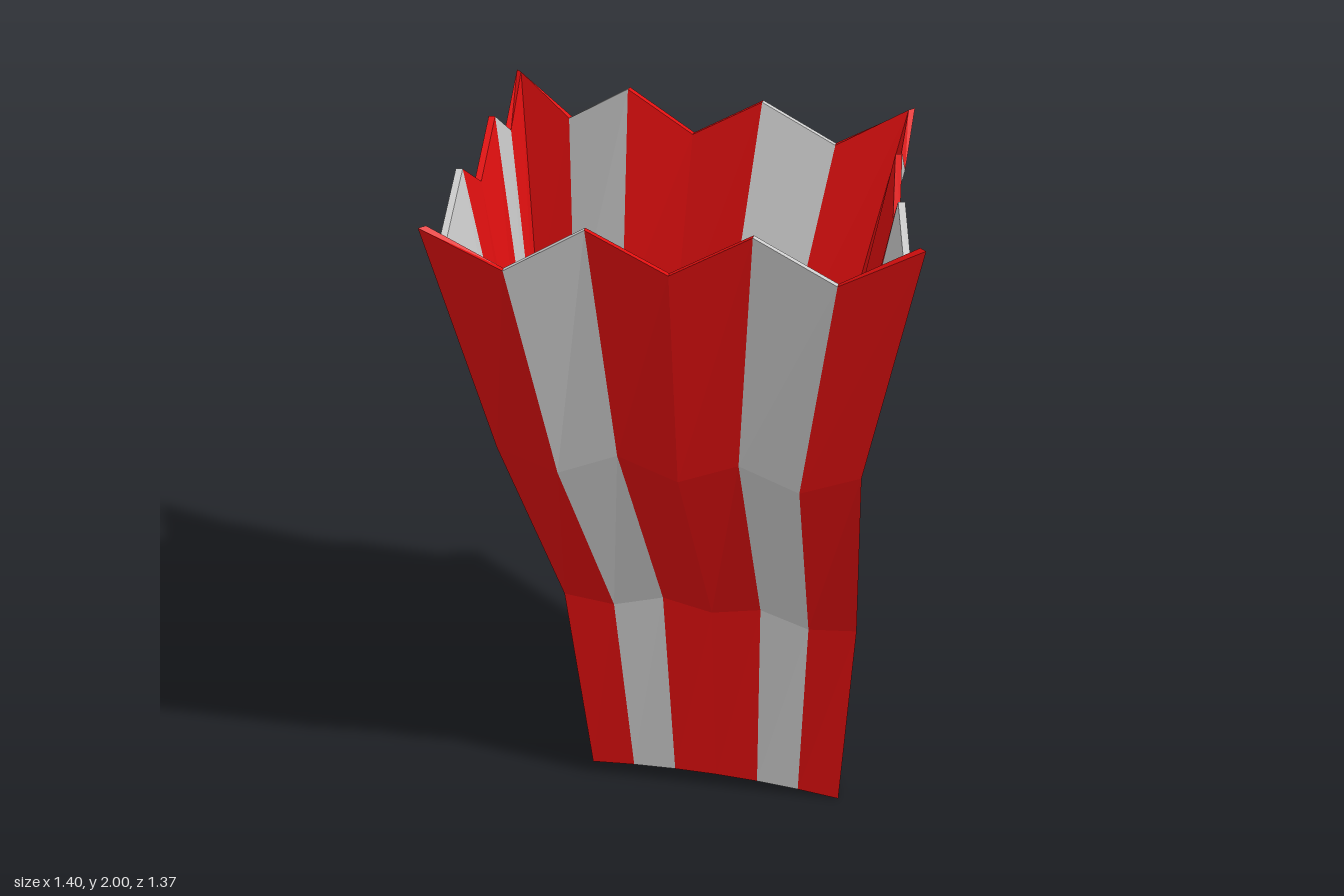
import * as THREE from 'three';

const N = 6;          // strips per side
const TOTAL = 4 * N;  // points around the box
const isWhite = (i) => i % N === 1 || i % N === 4;

// Each level: [x, y, z] for front-left corner, front middle, then on round
// through the right, back and left sides. drop = depth of the zigzag valleys.
const levels = [
  { drop: 0, wall: 0.045, pts: [
    [-0.30, 0.045, 0.31], [0.10, 0.05, 0.33], [0.49, 0.005, 0.34], [0.475, 0.083, -0.07],
    [0.457, 0.085, -0.48], [0.058, 0.13, -0.505], [-0.34, 0.13, -0.53], [-0.32, 0.1, -0.11]] },
  { drop: 0.035, wall: 0.03, pts: [
    [-0.37, 0.68, 0.345], [0.09, 0.70, 0.365], [0.535, 0.66, 0.40], [0.485, 0.735, 0.015],
    [0.44, 0.71, -0.40], [-0.035, 0.75, -0.46], [-0.455, 0.75, -0.53], [-0.40, 0.73, -0.08]] },
  { drop: 0.07, wall: 0.025, pts: [
    [-0.525, 1.25, 0.50], [0.01, 1.25, 0.505], [0.545, 1.25, 0.535], [0.46, 1.27, 0.13],
    [0.42, 1.26, -0.33], [-0.14, 1.29, -0.40], [-0.635, 1.27, -0.525], [-0.59, 1.26, -0.01]] },
  { drop: 0.125, wall: 0.02, pts: [
    [-0.675, 2, 0.68], [0.005, 2, 0.617], [0.705, 2, 0.637], [0.597, 2, 0.10],
    [0.59, 2, -0.505], [-0.10, 2, -0.53], [-0.70, 2, -0.685], [-0.685, 2, -0.01]] },
];

// Outer ring: a parabola through corner, middle and corner on every side
function outerRing({ pts, drop }) {
  const ring = [];
  for (let s = 0; s < 4; s++) {
    const [a, m, b] = [pts[2 * s], pts[2 * s + 1], pts[(2 * s + 2) % 8]];
    for (let k = 0; k < N; k++) {
      const t = k / N;
      const p = a.map((v, c) =>
        v * (1 - t) * (1 - 2 * t) + m[c] * 4 * t * (1 - t) + b[c] * t * (2 * t - 1));
      if (k % 2) p[1] -= drop;
      ring.push(new THREE.Vector3(...p));
    }
  }
  return ring;
}

// Inner ring: the outer ring moved inwards by the wall thickness
function innerRing(ring, wall, lift) {
  return ring.map((p, i) => {
    const t = ring[(i + 1) % TOTAL].clone().sub(ring[(i + TOTAL - 1) % TOTAL]).setY(0).normalize();
    const d = wall * (i % N ? 1 : 1.35);
    return new THREE.Vector3(p.x + t.z * d, p.y + lift, p.z - t.x * d);
  });
}

// Fills a ring with a grid blended from its four edges
function gridPoint(r, u, v) {
  const f = u / N, g = v / N;
  const sum = new THREE.Vector3();
  const add = (p, w) => sum.addScaledVector(p, w);
  add(r[u], 1 - g);
  add(r[3 * N - u], g);
  add(r[(4 * N - v) % TOTAL], 1 - f);
  add(r[N + v], f);
  add(r[0], -(1 - f) * (1 - g));
  add(r[N], -f * (1 - g));
  add(r[2 * N], -f * g);
  add(r[3 * N], -(1 - f) * g);
  return sum;
}

function meshFromQuads(name, quads, color) {
  const pos = [];
  for (const [a, b, c, d] of quads)
    for (const p of [a, b, c, a, c, d]) pos.push(p.x, p.y, p.z);
  const geo = new THREE.BufferGeometry();
  geo.setAttribute('position', new THREE.Float32BufferAttribute(pos, 3));
  geo.computeVertexNormals();
  const mesh = new THREE.Mesh(geo, new THREE.MeshStandardMaterial({ color, flatShading: true }));
  mesh.name = name;
  return mesh;
}

export function createModel() {
  const RED = 0xe00f0f, WHITE = 0xcccccc;
  const outer = levels.map(outerRing);
  const inner = levels.map((l, i) => innerRing(outer[i], l.wall, i === 0 ? 0.04 : 0));
  const top = levels.length - 1;
  const walls = { red: [], white: [] }, rim = { red: [], white: [] };
  const base = { red: [], white: [] }, floor = [];

  // Striped walls, outside and inside, and the zigzag rim
  for (let i = 0; i < TOTAL; i++) {
    const j = (i + 1) % TOTAL;
    const key = isWhite(i) ? 'white' : 'red';
    for (let r = 0; r < top; r++) {
      walls[key].push([outer[r][i], outer[r][j], outer[r + 1][j], outer[r + 1][i]]);
      walls[key].push([inner[r][j], inner[r][i], inner[r + 1][i], inner[r + 1][j]]);
    }
    rim[key].push([outer[top][i], outer[top][j], inner[top][j], inner[top][i]]);
  }

  // Underside with four pale patches, and the plain floor inside
  for (let u = 0; u < N; u++) {
    for (let v = 0; v < N; v++) {
      const cell = (r) => [[u, v], [u + 1, v], [u + 1, v + 1], [u, v + 1]]
        .map(([a, b]) => gridPoint(r, a, b));
      base[isWhite(u) && isWhite(v) ? 'white' : 'red'].push(cell(outer[0]).reverse());
      floor.push(cell(inner[0]));
    }
  }

  const group = new THREE.Group();
  group.name = 'stripedBox';
  group.add(
    meshFromQuads('redWallStripes', walls.red, RED),
    meshFromQuads('whiteWallStripes', walls.white, WHITE),
    meshFromQuads('redRim', rim.red, RED),
    meshFromQuads('whiteRim', rim.white, WHITE),
    meshFromQuads('redBase', base.red, RED),
    meshFromQuads('whiteBasePatches', base.white, WHITE),
    meshFromQuads('insideFloor', floor, WHITE),
  );
  return group;
}
